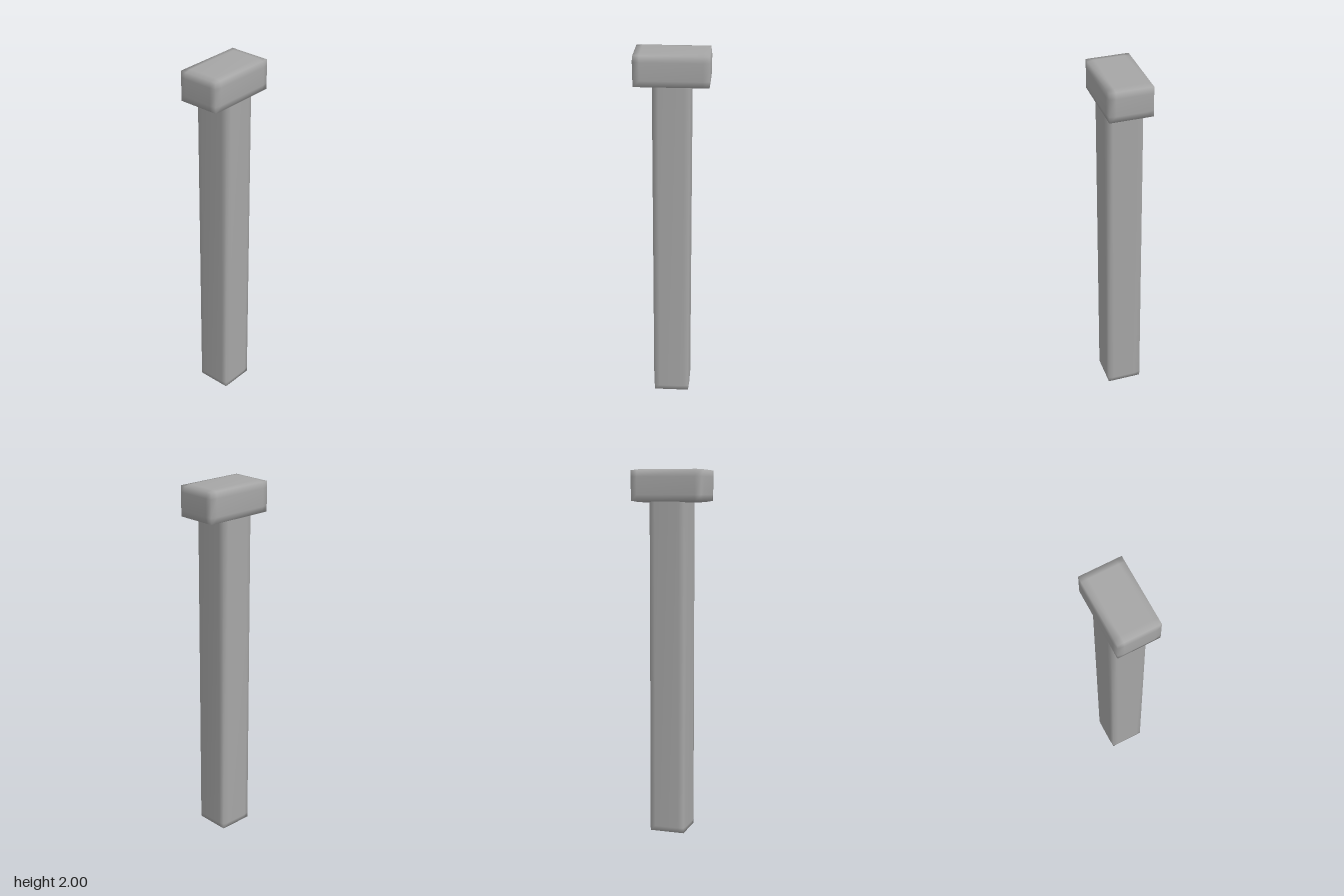
import * as THREE from 'three';
import { mergeVertices } from 'three/addons/utils/BufferGeometryUtils.js';

// Box with softened edges: an inset ring of vertices on each face, edges pulled inward, smooth normals
function softBox(w, h, d, inset, pull) {
  const geo = new THREE.BoxGeometry(w, h, d, 3, 3, 3);
  geo.deleteAttribute('normal');
  geo.deleteAttribute('uv');
  const pos = geo.attributes.position;
  const half = [w / 2, h / 2, d / 2];
  for (let i = 0; i < pos.count; i++) {
    const p = [pos.getX(i), pos.getY(i), pos.getZ(i)];
    const outer = p.map((v, a) => Math.abs(v) > half[a] - 1e-4);
    const onEdge = outer.filter(Boolean).length > 1;
    const q = p.map((v, a) => Math.sign(v) * (half[a] - (outer[a] ? (onEdge ? pull : 0) : inset)));
    pos.setXYZ(i, ...q);
  }
  const soft = mergeVertices(geo, 1e-4);
  soft.computeVertexNormals();
  return soft;
}

export function createModel() {
  const group = new THREE.Group();
  const grey = new THREE.MeshStandardMaterial({ color: 0xa6a6a6 });
  grey.name = 'plain grey';

  const addPart = (name, geometry, y) => {
    const mesh = new THREE.Mesh(geometry, grey);
    mesh.name = name;
    mesh.position.y = y;
    group.add(mesh);
  };

  // Long square post, running slightly into the head
  addPart('post', softBox(0.204, 1.87, 0.204, 0.035, 0.006), 0.935);
  // Wider block on top
  addPart('head', softBox(0.404, 0.175, 0.242, 0.04, 0.006), 1.9125);
  return group;
}
